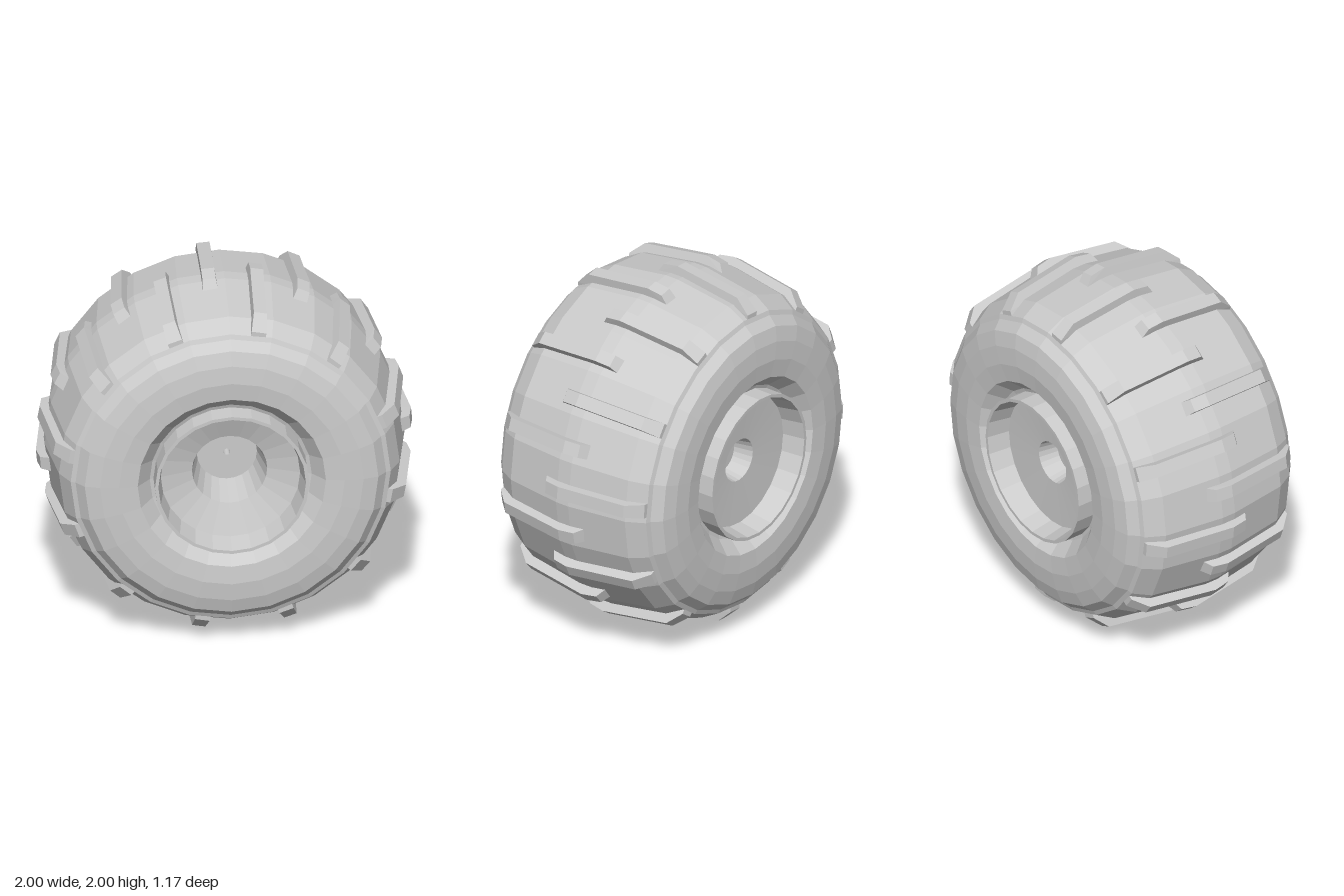
import * as THREE from 'three';

const SEGMENTS = 24;
const material = new THREE.MeshStandardMaterial({ color: 0xcccccc, flatShading: true });

function addMesh(parent, name, geometry) {
  const mesh = new THREE.Mesh(geometry, material);
  mesh.name = name;
  parent.add(mesh);
  return mesh;
}

// Ring turned around the z axis from [radius, z] points, back to front
function turned(profile, segments) {
  const points = profile.map(([r, z]) => new THREE.Vector2(r, z));
  return new THREE.LatheGeometry(points, segments).rotateX(Math.PI / 2);
}

// Mirrors a front half (front to back) into a full back-to-front outline
function mirrored(half) {
  const back = half.map(([r, z]) => [r, -z]);
  return back.concat([...half].reverse());
}

// Tread bar: side outline in (z, radius), narrowing slightly toward its top
function lugGeometry() {
  const width = 0.08;
  const outline = [
    [0.48, 0.82], [0.48, 0.868], [0.4, 0.945], [0, 1], [-0.09, 0.985], [-0.125, 0.93], [0, 0.93], [0.38, 0.86],
  ].map(([z, r]) => new THREE.Vector2(z, r));
  const geometry = new THREE.ExtrudeGeometry(new THREE.Shape(outline), { depth: width, bevelEnabled: false });
  geometry.translate(0, 0, -width / 2).rotateY(-Math.PI / 2);
  const p = geometry.attributes.position;
  for (let i = 0; i < p.count; i++) {
    const crown = 0.95 - 0.2 * p.getZ(i) ** 2;
    if (p.getY(i) > crown) p.setX(i, p.getX(i) * 0.88);
  }
  geometry.computeVertexNormals();
  return geometry;
}

export function createModel() {
  const model = new THREE.Group();
  model.name = 'wheel';
  const wheel = new THREE.Group();
  wheel.name = 'wheelAssembly';
  wheel.position.y = 1;
  model.add(wheel);

  // Crowned tyre with bulging sidewalls and a recess around the rim
  addMesh(wheel, 'tyre', turned(mirrored([
    [0.4, 0.47], [0.43, 0.48], [0.5, 0.56], [0.6, 0.57], [0.7, 0.562], [0.78, 0.54],
    [0.825, 0.49], [0.85, 0.48], [0.905, 0.38], [0.955, 0.04],
  ]), SEGMENTS));

  // Tread bars alternate between the front and back shoulders
  const treads = new THREE.Group();
  treads.name = 'treadBars';
  wheel.add(treads);
  const lug = lugGeometry();
  for (let i = 0; i < 24; i++) {
    const bar = addMesh(treads, 'treadBar', lug);
    const back = i % 2 === 0;
    const angle = THREE.MathUtils.degToRad(5 + i * 15 - 90);
    bar.rotation.set(0, back ? Math.PI : 0, angle, 'ZYX');
  }

  // Rim lips standing proud on both sides, joined through the wheel
  addMesh(wheel, 'rim', turned([
    [0.37, -0.46], [0.392, -0.585], [0.41, -0.585], [0.41, 0.585], [0.392, 0.585], [0.37, 0.46],
  ], SEGMENTS));

  // Dished front and flatter back of the hub, with a small axle bore
  addMesh(wheel, 'hub', turned([
    [0.018, 0.2], [0.018, -0.34], [0.1, -0.34], [0.12, -0.45], [0.37, -0.46],
    [0.37, 0.46], [0.2, 0.4], [0.16, 0.2], [0.018, 0.2],
  ], SEGMENTS));

  return model;
}
